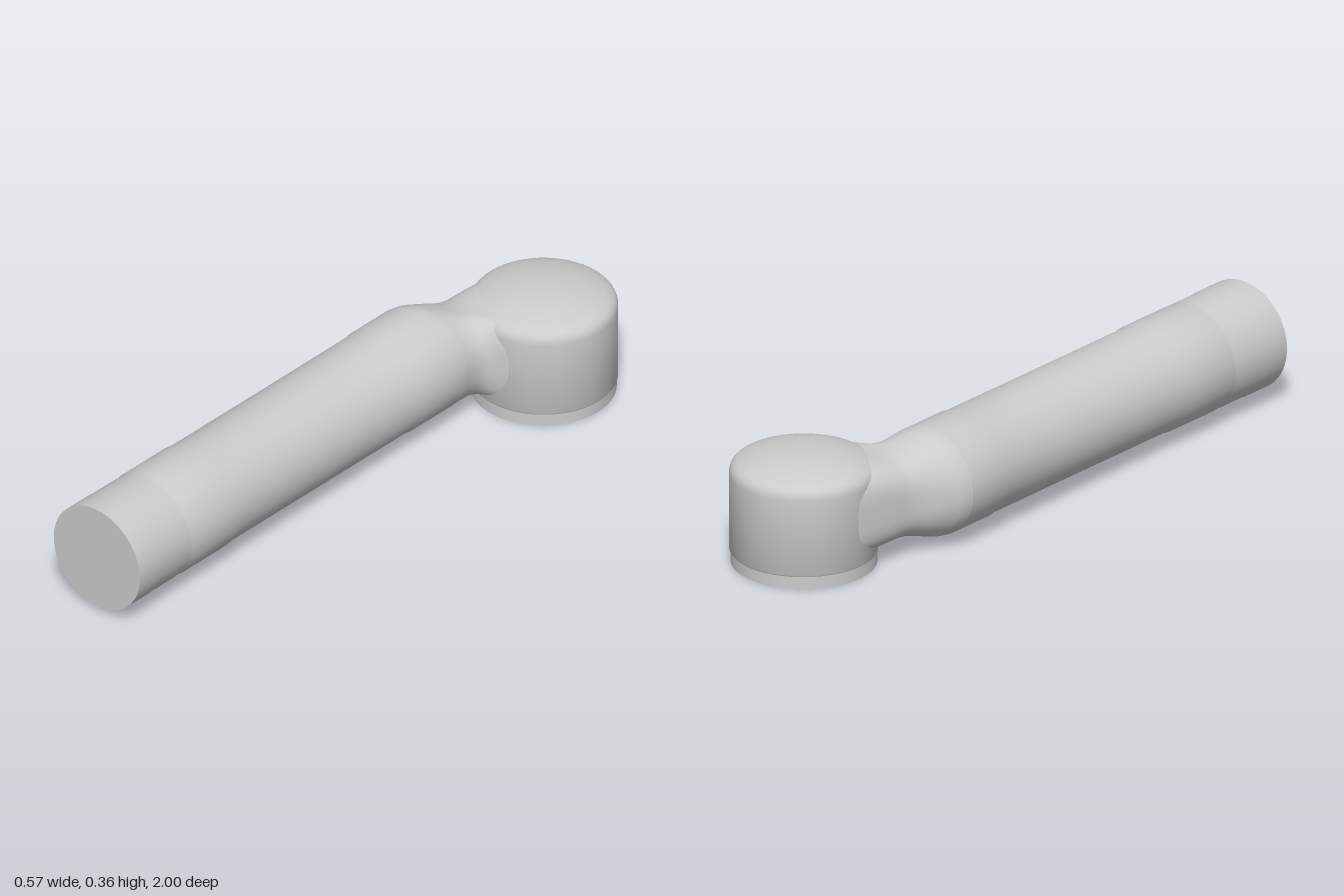
import * as THREE from 'three';
import { toCreasedNormals } from 'three/addons/utils/BufferGeometryUtils.js';

const material = new THREE.MeshStandardMaterial({ color: 0xcccccc });

function part(name, geometry) {
  const mesh = new THREE.Mesh(geometry, material);
  mesh.name = name;
  return mesh;
}

// Turned solid from [radius, height] pairs, bottom to top
function turned(profile, segments = 72) {
  const pts = profile.map(([r, h]) => new THREE.Vector2(r, h));
  return toCreasedNormals(new THREE.LatheGeometry(pts, segments), 0.6);
}

// Smooth loft along z; keys are [z, left x, right x, bottom y, top y, squareness]
function loft(keys, steps = 56, sides = 72) {
  const curves = [1, 2, 3, 4, 5].map(
    (k) => new THREE.SplineCurve(keys.map((s) => new THREE.Vector2(s[0], s[k]))));
  const pos = [], index = [];
  const power = (v, e) => Math.sign(v) * Math.pow(Math.abs(v), 2 / e);
  for (let i = 0; i <= steps; i++) {
    const at = curves.map((c) => c.getPoint(i / steps));
    const z = at[0].x;
    const [l, r, b, t, e] = at.map((p) => p.y);
    for (let j = 0; j < sides; j++) {
      const a = (j / sides) * Math.PI * 2;
      pos.push((l + r) / 2 + ((r - l) / 2) * power(Math.cos(a), e),
        (b + t) / 2 + ((t - b) / 2) * power(Math.sin(a), e), z);
      if (i === steps) continue;
      const p = i * sides + j, q = i * sides + ((j + 1) % sides);
      index.push(p, p + sides, q, q, p + sides, q + sides);
    }
  }
  const g = new THREE.BufferGeometry();
  g.setAttribute('position', new THREE.Float32BufferAttribute(pos, 3));
  g.setIndex(index);
  g.computeVertexNormals();
  return g;
}

export function createModel() {
  const model = new THREE.Group();
  model.name = 'armLink';

  // Long tube with slightly raised collars at both ends
  const tube = part('tube', turned([
    [0.169, -0.42], [0.169, -0.265], [0.166, -0.25],
    [0.1655, 0], [0.1655, 0.54], [0.169, 0.565],
    [0.169, 0.75], [0.1665, 0.765], [0.1665, 0.775], [0.168, 0.79],
    [0.168, 0.89], [0.1695, 0.905], [0.1695, 1], [0, 1],
  ]).rotateX(Math.PI / 2));
  tube.position.set(-0.117, 0.187, 0);
  model.add(tube);

  // Neck narrowing from the tube and flaring into the joint head
  model.add(part('neck', loft([
    [-0.42, -0.286, 0.052, 0.018, 0.356, 2],
    [-0.45, -0.277, 0.051, 0.022, 0.352, 2.05],
    [-0.48, -0.259, 0.049, 0.03, 0.343, 2.15],
    [-0.51, -0.24, 0.052, 0.04, 0.333, 2.3],
    [-0.535, -0.222, 0.063, 0.046, 0.325, 2.5],
    [-0.555, -0.21, 0.09, 0.049, 0.321, 2.7],
    [-0.575, -0.201, 0.135, 0.049, 0.32, 2.9],
    [-0.6, -0.193, 0.18, 0.047, 0.321, 3.1],
    [-0.65, -0.184, 0.2, 0.044, 0.326, 3.3],
    [-0.7, -0.175, 0.2, 0.043, 0.329, 3.5],
    [-0.77, -0.161, 0.2, 0.042, 0.33, 3.7],
    [-0.83, -0.145, 0.2, 0.042, 0.328, 3.9],
    [-0.87, -0.125, 0.19, 0.044, 0.326, 4],
  ])));

  // Joint head with a rounded shoulder and shallow dome
  const head = part('jointHead', turned([
    [0, 0.038], [0.217, 0.038], [0.22, 0.043], [0.22, 0.28], [0.219, 0.292],
    [0.215, 0.303], [0.208, 0.312], [0.198, 0.319], [0.18, 0.327],
    [0.15, 0.337], [0.115, 0.346], [0.08, 0.352], [0.04, 0.3565], [0, 0.358],
  ], 96));
  head.position.set(0.063, 0, -0.78);
  model.add(head);

  // Mounting flange under the head
  const flange = part('flange', turned([
    [0, 0], [0.2165, 0], [0.2165, 0.04], [0, 0.04],
  ], 96));
  flange.position.set(0.062, 0, -0.78);
  model.add(flange);

  return model;
}
